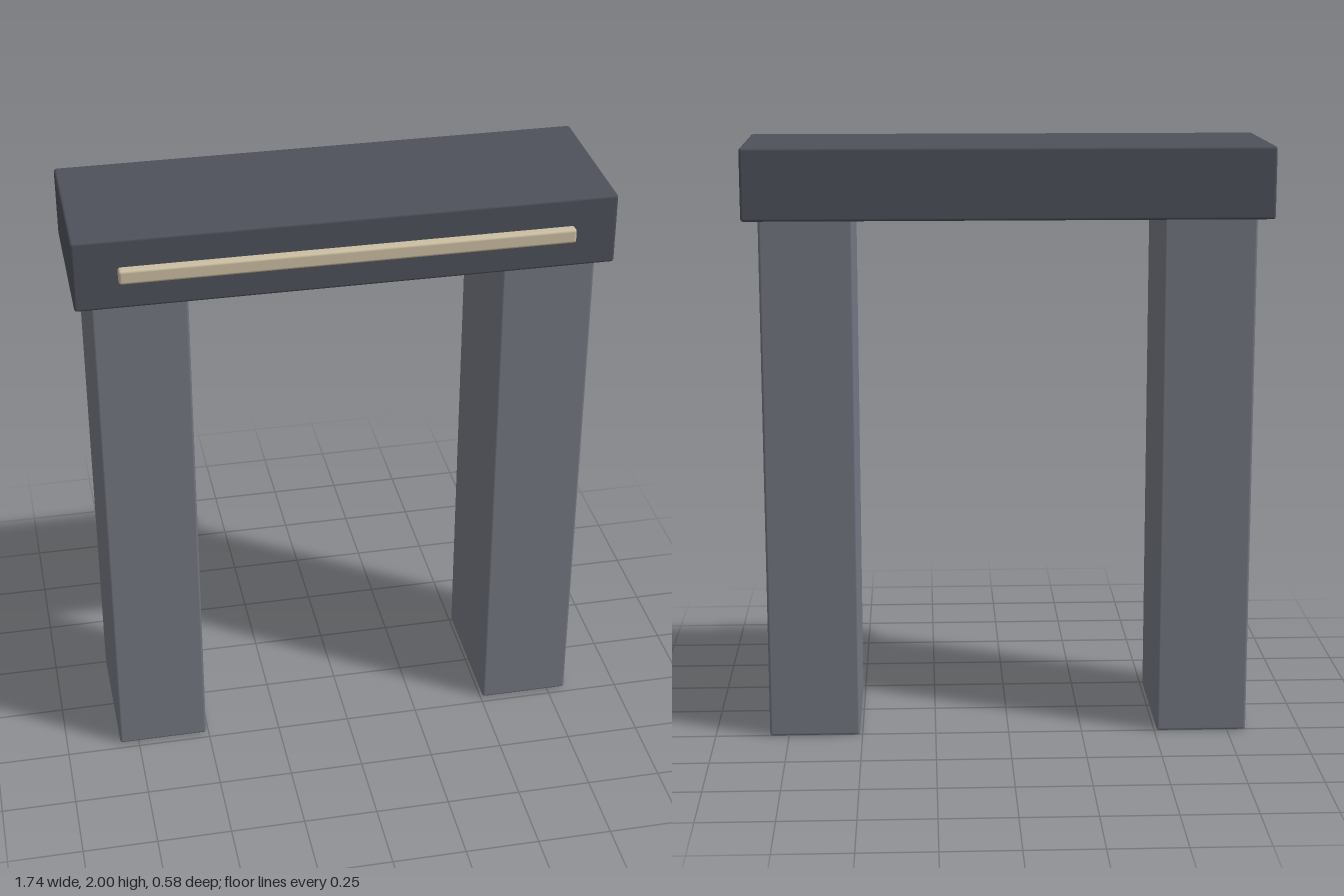
import * as THREE from 'three';
import { RoundedBoxGeometry } from 'three/addons/geometries/RoundedBoxGeometry.js';

export function createModel() {
  const group = new THREE.Group();
  const pillarStone = new THREE.MeshStandardMaterial({ name: 'pillar grey', color: 0x747782 });
  const lintelStone = new THREE.MeshStandardMaterial({ name: 'dark lintel grey', color: 0x4e515b });
  const trimMaterial = new THREE.MeshStandardMaterial({ name: 'pale sand', color: 0xcbbea2 });

  // Box with softened edges, given by its minimum and maximum corners
  function block(name, min, max, radius, material) {
    const size = max.map((v, i) => v - min[i]);
    const mesh = new THREE.Mesh(new RoundedBoxGeometry(...size, 2, radius), material);
    mesh.position.set(...max.map((v, i) => (v + min[i]) / 2));
    mesh.name = name;
    group.add(mesh);
  }

  // Two upright pillars
  block('leftPillar', [0.508, 0, -0.257], [0.815, 1.775, 0.226], 0.009, pillarStone);
  block('rightPillar', [-0.815, 0, -0.257], [-0.508, 1.775, 0.226], 0.009, pillarStone);

  // Lintel across the top
  block('lintel', [-0.868, 1.763, -0.291], [0.868, 2, 0.26], 0.009, lintelStone);

  // Thin trim bar on the lintel front
  block('trimBar', [-0.728, 1.859, 0.255], [0.728, 1.907, 0.291], 0.009, trimMaterial);

  return group;
}
